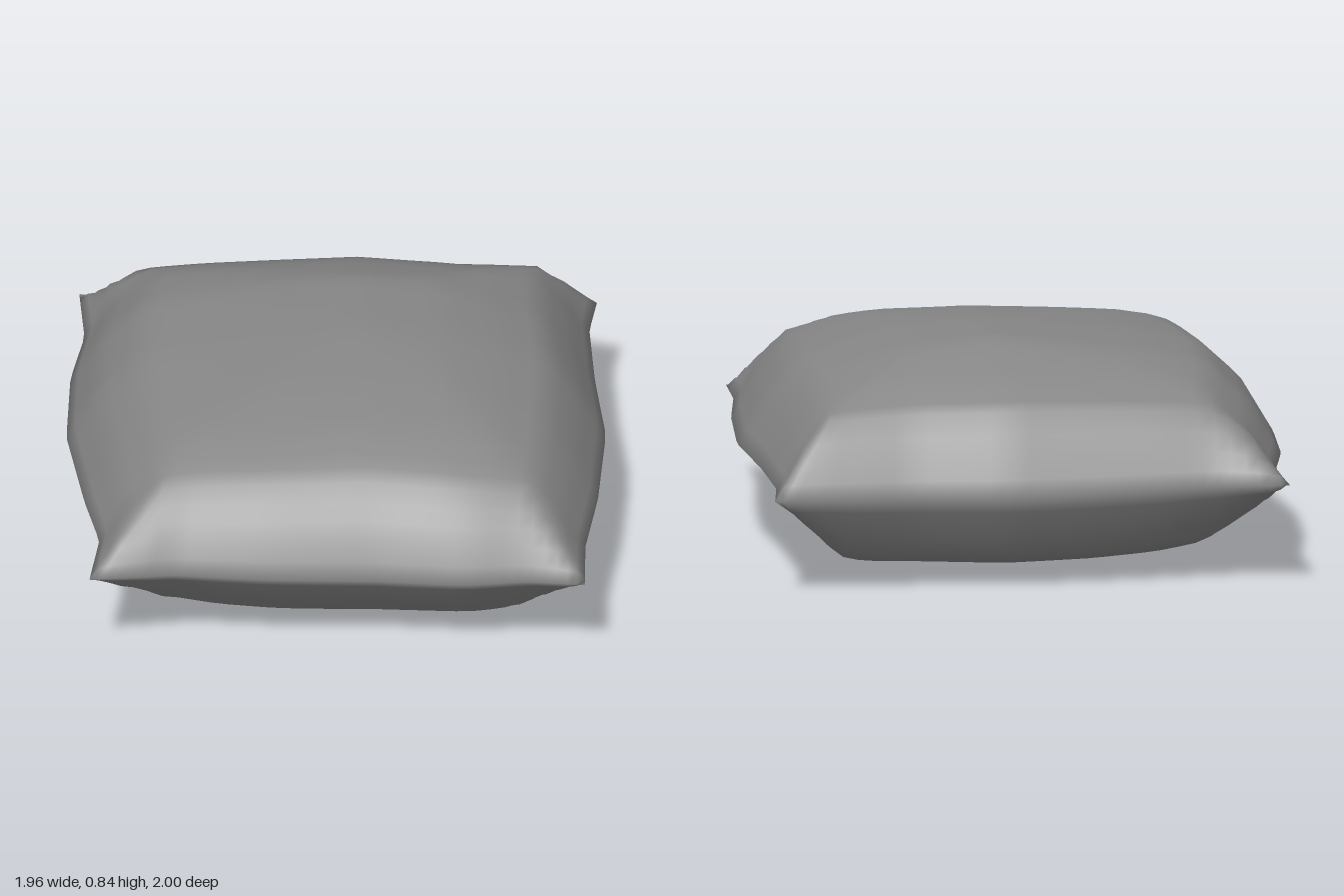
import * as THREE from 'three';
import { mergeVertices } from 'three/addons/utils/BufferGeometryUtils.js';

const { lerp, clamp, mapLinear } = THREE.MathUtils;

// Seam outline seen from above, each side as [along, outward] points
const back = [[-0.92, -1], [-0.65, -0.95], [-0.25, -0.965], [0.1, -0.975], [0.45, -0.935], [0.96, -0.945]];
const front = [[-0.91, 0.965], [-0.6, 0.915], [-0.28, 0.935], [0.12, 0.94], [0.45, 0.975], [0.68, 0.96], [0.89, 0.995]];
const left = [[-0.945, 0.96], [-0.75, 0.93], [-0.4, 0.945], [-0.02, 0.98], [0.42, 0.945], [0.74, 0.895], [0.995, 0.89]];
const right = [[-1, -0.92], [-0.71, -0.905], [-0.43, -0.96], [-0.03, -0.98], [0.42, -0.92], [0.69, -0.87], [0.965, -0.91]];

// Each half: its depth, its fullness across x and z as [position, share of depth],
// and how square it stays at the corners (-x-z, +x-z, -x+z, +x+z)
const top = {
  depth: 0.455,
  x: [[-1, 0], [-0.88, 0.44], [-0.72, 0.76], [-0.51, 0.86], [-0.22, 0.935], [0.08, 1], [0.41, 0.945], [0.61, 0.825], [0.79, 0.67], [0.9, 0.385], [1, 0]],
  z: [[-1, 0], [-0.93, 0.31], [-0.84, 0.63], [-0.66, 0.825], [-0.4, 1], [-0.03, 1], [0.32, 0.915], [0.56, 0.825], [0.77, 0.67], [0.92, 0.33], [1, 0]],
  corners: [0.4, 0.75, 0.4, 0.5],
};
const base = {
  depth: -0.385,
  x: [[-1, 0], [-0.91, 0.33], [-0.72, 0.7], [-0.51, 0.88], [-0.25, 0.97], [0.1, 1], [0.58, 0.89], [0.75, 0.7], [0.87, 0.355], [1, 0]],
  z: [[-1, 0], [-0.93, 0.32], [-0.82, 0.73], [-0.63, 0.83], [-0.4, 0.855], [0, 0.97], [0.35, 1], [0.61, 0.89], [0.76, 0.72], [0.9, 0.34], [1, 0]],
  corners: [0.4, 0.8, 0.5, 0.7],
};

// Linear lookup in a sorted list of [position, value]
function sample(points, t) {
  let i = 1;
  while (i < points.length - 1 && t > points[i][0]) i++;
  const [a, b] = [points[i - 1], points[i]];
  return lerp(a[1], b[1], clamp((t - a[0]) / (b[0] - a[0]), 0, 1));
}

// Value at s, t (0..1) between four corner values
const bilinear = ([a, b, c, d], s, t) => lerp(lerp(a, b, s), lerp(c, d, s), t);

// Point on one side of the outline for u in -1..1
function onSide(side, u) {
  const along = mapLinear(u, -1, 1, side[0][0], side[side.length - 1][0]);
  return [along, sample(side, along)];
}

// Blends the four sides into a plan position (Coons patch)
function plan(u, v) {
  const s = (u + 1) / 2, t = (v + 1) / 2;
  const [bx, bz] = onSide(back, u), [fx, fz] = onSide(front, u);
  const [lz, lx] = onSide(left, v), [rz, rx] = onSide(right, v);
  const corner = (k) => bilinear([back[0][k], back[5][k], front[0][k], front[6][k]], s, t);
  return [
    lerp(bx, fx, t) + lerp(rx, lx, s) - corner(0),
    lerp(bz, fz, t) + lerp(rz, lz, s) - corner(1),
  ];
}

// Height of a half above or below the seam
function rise(half, u, v) {
  const fx = sample(half.x, u), fz = sample(half.z, v);
  const square = bilinear(half.corners, (u + 1) / 2, (v + 1) / 2);
  return half.depth * lerp(fx * fz, Math.min(fx, fz), square);
}

function cushionGeometry(n = 32) {
  const positions = [], index = [];
  // Rows crowd towards the seam, where the curve is tightest
  const spread = (i) => Math.sin((i / n - 0.5) * 2.4) / Math.sin(1.2);
  for (const half of [top, base]) {
    const start = positions.length / 3;
    for (let j = 0; j <= n; j++) {
      for (let i = 0; i <= n; i++) {
        const u = spread(i), v = spread(j);
        const [x, z] = plan(u, v);
        // The seam sags mid-way along front and back and lifts at the right corners
        const seam = 0.388 - 0.02 * v * v * (1 - u * u) - 0.01 * u * v * v;
        positions.push(x, seam + rise(half, u, v), z);
        if (i < n && j < n) {
          const a = start + j * (n + 1) + i, b = a + 1, c = a + n + 1, d = c + 1;
          if (half === top) index.push(a, c, b, b, c, d);
          else index.push(a, b, c, b, d, c);
        }
      }
    }
  }
  let geometry = new THREE.BufferGeometry();
  geometry.setAttribute('position', new THREE.Float32BufferAttribute(positions, 3));
  geometry.setIndex(index);
  // Join both halves along the seam so the shading runs over it
  geometry = mergeVertices(geometry, 1e-4);
  geometry.computeVertexNormals();
  return geometry;
}

export function createModel() {
  const group = new THREE.Group();
  group.name = 'pillow';
  const cushion = new THREE.Mesh(cushionGeometry(), new THREE.MeshStandardMaterial({ color: 0x868686 }));
  cushion.name = 'cushion';
  group.add(cushion);
  return group;
}
